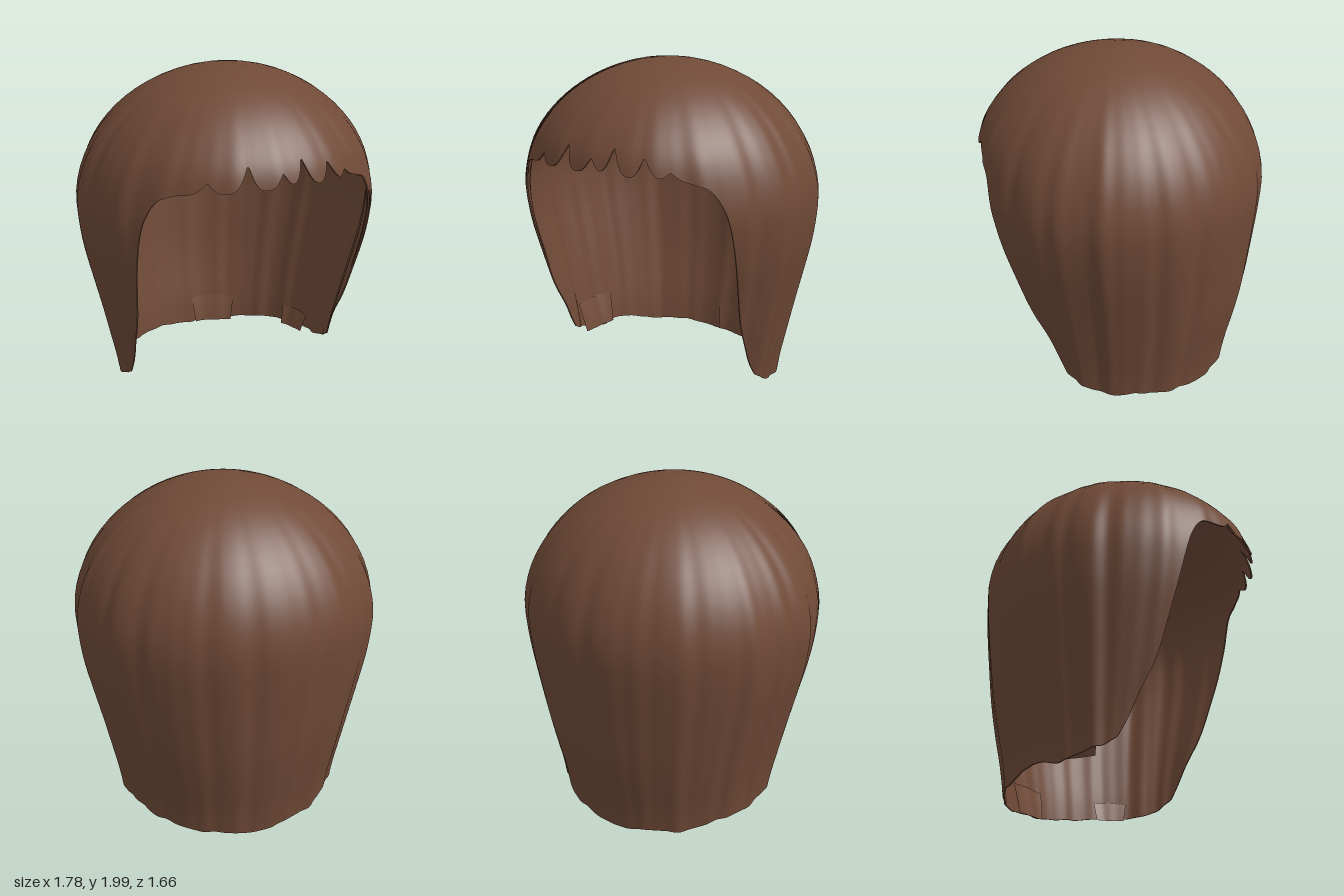
import * as THREE from 'three';

const COLS = 480, ROWS = 36, DEG = Math.PI / 180;

// Piecewise linear lookup in a list of [key, value] pairs with rising keys
function lookup(table, k) {
  if (k <= table[0][0]) return table[0][1];
  for (let i = 1; i < table.length; i++) {
    const [k0, v0] = table[i - 1], [k1, v1] = table[i];
    if (k <= k1) return v0 + (v1 - v0) * (k - k0) / (k1 - k0);
  }
  return table[table.length - 1][1];
}

// Smooth lookup: averages neighbours to round off the corners
function smooth(table, k, w) {
  let sum = 0;
  for (let i = -3; i <= 3; i++) sum += lookup(table, k + i * w / 3);
  return sum / 7;
}

// Half widths by height: side, front and back
const SIDE = [[0, 0.675], [0.2, 0.7], [0.4, 0.74], [0.6, 0.78], [0.8, 0.825], [1, 0.868], [1.2, 0.887], [2, 0.885]];
const FRONT = [[0, 0.45], [0.3, 0.52], [0.6, 0.675], [1, 0.82], [1.2, 0.86], [1.45, 0.875], [1.55, 0.91], [2, 0.92]];
const BACK = [[0, 0.66], [0.2, 0.69], [0.4, 0.735], [0.6, 0.77], [0.8, 0.79], [1, 0.81], [1.2, 0.825], [2, 0.825]];

// Hem height by angle from the front, and the notches between fringe locks
const HEM = [[38, 1.46], [43, 1.44], [46, 1.4], [50, 1.28], [53, 1.03], [55.2, 0.8], [58, 0.58],
  [66, 0.3], [72, 0.19], [83, 0.135], [103, 0.08], [114, 0.095], [125, 0.075], [140, 0.045], [165, 0.03], [180, 0.012]];
const NOTCHES = [[-0.38, 0.06], [-0.18, 0.13], [0.01, 0.08], [0.14, 0.14], [0.31, 0.11], [0.43, 0.05]];

function hemHeight(t) {
  const deg = Math.abs(t) / DEG;
  let y = smooth(HEM, deg, 1.5);
  if (deg < 42) {
    const x = 0.83 * Math.sin(t);
    y += 0.025 * Math.cos(x * 3);
    for (const [nx, h] of NOTCHES) y += h * Math.exp(-((Math.abs(x - nx) / 0.036) ** 1.4));
  } else if (deg > 66) {
    y += 0.005 * Math.sin(t * 11) + 0.002 * Math.sin(t * 29 + 1);
  }
  return Math.max(0, y);
}

// Soft vertical strands, calmer over the fringe and the middle of the back
function strands(t, y) {
  const c = Math.cos(t);
  const amount = c > 0 ? 1 - 0.6 * c : 1 + 0.5 * c;
  return amount * (0.009 * Math.sin(15 * t + 1.4 * Math.sin(2 * t + 0.6) + 0.5 * y)
    + 0.007 * Math.sin(25 * t + 1.3 + 0.6 * y) + 0.003 * Math.sin(43 * t + 2));
}

// Point on the shell: p runs 0..1 over the dome and on down the lengths
function shellPoint(t, p, inset) {
  const phi = Math.min(p, 1) * Math.PI / 2;
  const crown = Math.cos(phi) ** 2;
  const y = p < 1 ? 1.2 + 0.8 * Math.cos(phi) : 2.2 - p;
  const round = Math.sin(phi);
  const k = round * (1 - inset / 0.85 + strands(t, y) * round * round);
  const depth = Math.cos(t) > 0 ? smooth(FRONT, y, 0.08) : smooth(BACK, y, 0.08);
  return [smooth(SIDE, y, 0.08) * k * Math.sin(t), y - inset * crown, depth * k * Math.cos(t) + 0.03 * crown];
}

const heightToP = y => (y > 1.2 ? Math.acos((y - 1.2) / 0.8) / (Math.PI / 2) : 2.2 - y);

// Grid of points into a surface; wraps around when closed
function surface(cols, rows, closed, flip, point) {
  const pos = [], index = [], n = closed ? cols : cols + 1;
  for (let i = 0; i < n; i++) {
    for (let j = 0; j <= rows; j++) pos.push(...point(i / cols, j / rows));
  }
  for (let i = 0; i < cols; i++) {
    for (let j = 0; j < rows; j++) {
      const a = i * (rows + 1) + j, b = ((i + 1) % n) * (rows + 1) + j;
      if (flip) index.push(a, b, a + 1, b, b + 1, a + 1);
      else index.push(a, a + 1, b, b, a + 1, b + 1);
    }
  }
  const g = new THREE.BufferGeometry();
  g.setAttribute('position', new THREE.Float32BufferAttribute(pos, 3));
  g.setIndex(index);
  g.computeVertexNormals();
  return g;
}

export function createModel() {
  const model = new THREE.Group();
  model.name = 'bobHair';
  const brown = new THREE.MeshStandardMaterial({ color: 0x704a37, side: THREE.DoubleSide });
  brown.name = 'brown hair';
  const add = (name, geometry) => {
    const mesh = new THREE.Mesh(geometry, brown);
    mesh.name = name;
    model.add(mesh);
  };
  // The shell thins towards the hem
  const THICK = 0.022, RIM = 0.01;
  const onShell = (inset, rim) => (u, v) => {
    const t = (u * 2 - 1) * Math.PI;
    return shellPoint(t, Math.max(0.0002, v * heightToP(hemHeight(t))), inset + (rim - inset) * v ** 8);
  };

  // Outer hair, lining and the edge that joins them
  const outer = onShell(0, 0), inner = onShell(THICK, RIM);
  add('outerHair', surface(COLS, ROWS, true, false, outer));
  add('innerHair', surface(COLS, ROWS, true, true, inner));
  add('hemEdge', surface(COLS, 1, true, false, (u, v) => (v ? inner(u, 1) : outer(u, 1))));

  // Loose locks tucked inside the hem: [name, from angle, to angle, bottom, top, lean inwards]
  const locks = [['backLock', 154, 180, 0.02, 0.19, 0.02], ['rightLock', -111, -84, 0.1, 0.29, 0.03],
    ['leftLock', 103, 121, 0.065, 0.18, 0.03]];
  for (const [name, t0, t1, y0, y1, lean] of locks) {
    add(name, surface(12, 6, false, false, (u, v) => {
      const t = (t0 + (t1 - t0) * (u + 0.12 * v * (0.5 - u))) * DEG;
      const y = y1 + (y0 - y1) * v + 0.012 * Math.sin(u * Math.PI) * (1 - v);
      return shellPoint(t, heightToP(y), THICK + 0.004 + lean * v);
    }));
  }
  return model;
}
